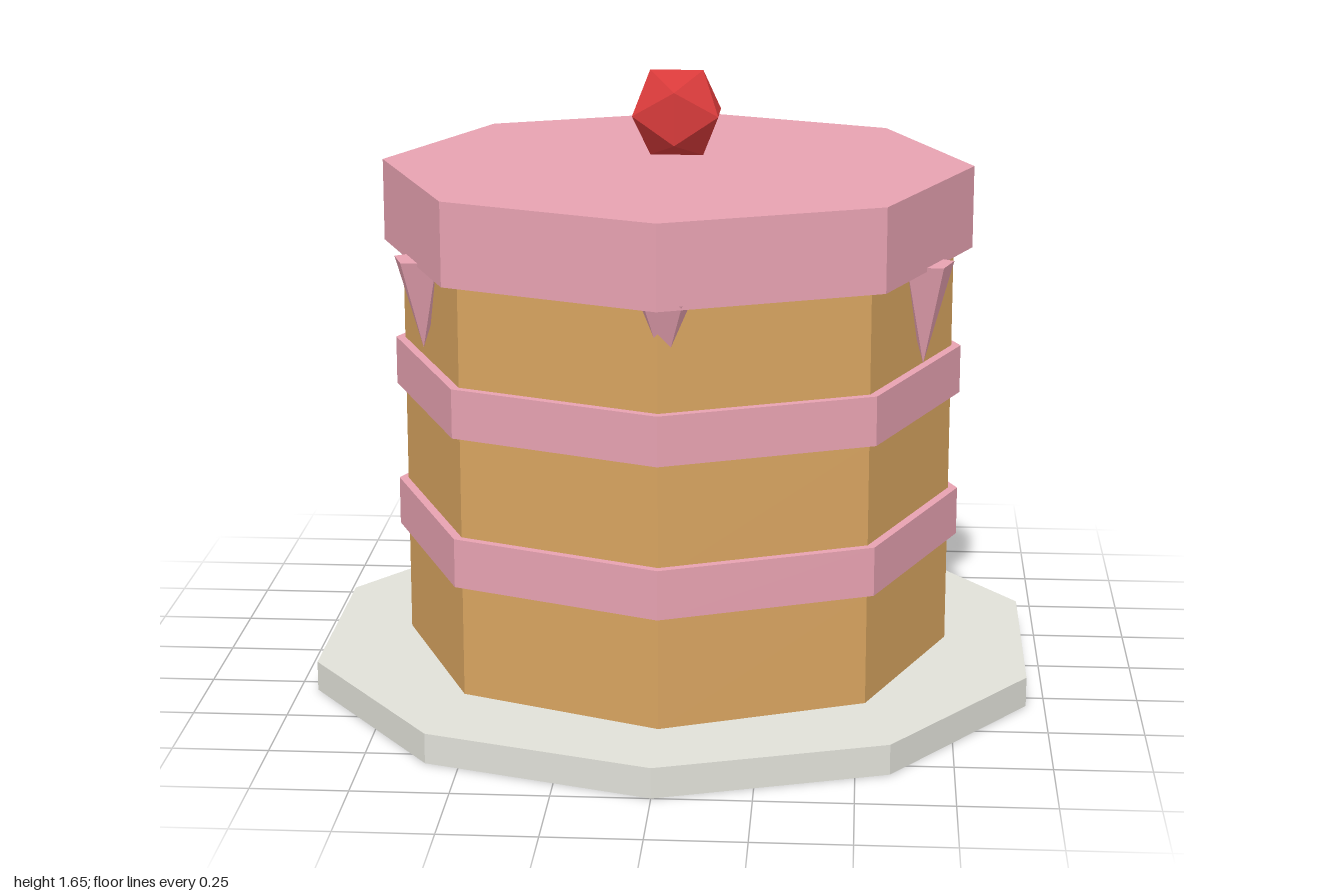
import * as THREE from 'three';

const material = (name, color) => {
  const m = new THREE.MeshStandardMaterial({ color, flatShading: true });
  m.name = name;
  return m;
};

export function createModel() {
  const cake = new THREE.Group();
  cake.name = 'layerCake';

  const china = material('pale china', 0xe0e0d8);
  const sponge = material('golden sponge', 0xd8a460);
  const icing = material('pink icing', 0xf0a8b8);
  const red = material('cherry red', 0xd83a3a);

  const add = (name, geometry, mat, x, y, z) => {
    const mesh = new THREE.Mesh(geometry, mat);
    mesh.name = name;
    mesh.position.set(x, y, z);
    cake.add(mesh);
    return mesh;
  };

  // A faceted disc between two heights
  const disc = (name, radius, bottom, top, sides, mat) =>
    add(name, new THREE.CylinderGeometry(radius, radius, top - bottom, sides), mat, 0, (bottom + top) / 2, 0);

  disc('plate', 1, 0, 0.08, 10, china);

  // Sponge layers with cream bands between them
  for (let i = 0; i < 3; i++) {
    const base = 0.08 + i * 0.4;
    disc('spongeLayer', 0.74, base, i < 2 ? base + 0.3 : 1.18, 8, sponge);
    if (i < 2) disc('creamBand', 0.765, base + 0.3, base + 0.43, 8, icing);
    if (i > 0) disc('spongeCore', 0.74, base - 0.1, base + 0.03, 8, sponge);
  }
  disc('icingTop', 0.79, 1.18, 1.4, 8, icing);

  // Pointed icing drips around the rim: angle in degrees from the front, length
  const drips = [[1.2, 0.18], [70, 0.27], [144, 0.2], [216.5, 0.18], [292.6, 0.24]];
  for (const [degrees, length] of drips) {
    const a = THREE.MathUtils.degToRad(degrees);
    const drip = add('icingDrip', new THREE.ConeGeometry(0.08, length, 5), icing,
      0.703 * Math.sin(a), 1.19 - length / 2, 0.703 * Math.cos(a));
    drip.rotation.x = Math.PI;
  }

  add('cherry', new THREE.IcosahedronGeometry(0.134, 0), red, 0, 1.535, 0);

  return cake;
}
